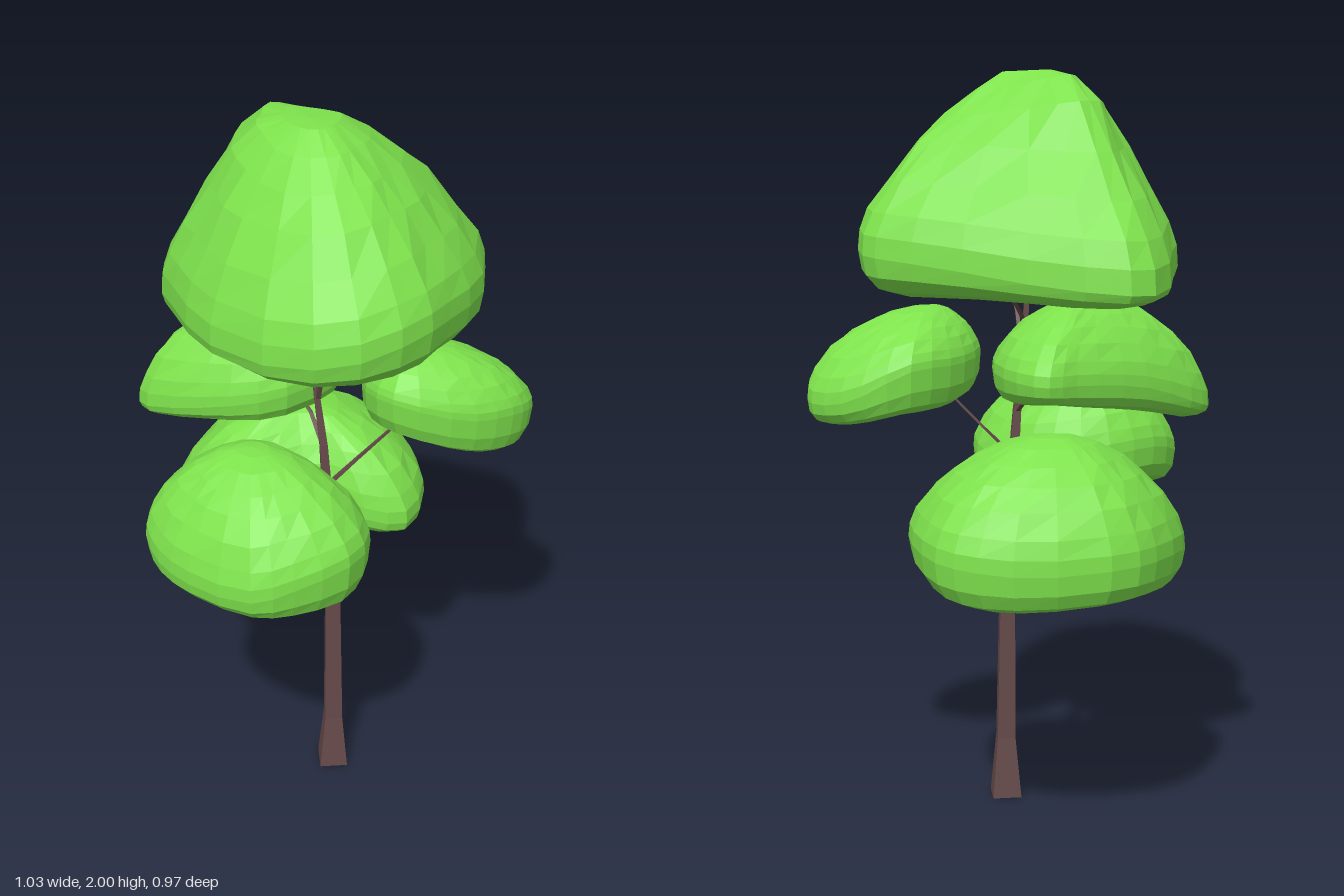
import * as THREE from 'three';

const leafMat = new THREE.MeshStandardMaterial({ color: 0x7ee24c, flatShading: true });
const barkMat = new THREE.MeshStandardMaterial({ color: 0x664a4a, flatShading: true });

// Skin a stack of closed rings, listed bottom to top, each counterclockwise from above
function loft(rings) {
  const n = rings[0].length, pos = [], index = [];
  rings.forEach(r => r.forEach(p => pos.push(p.x, p.y, p.z)));
  for (let i = 0; i < rings.length - 1; i++) {
    for (let j = 0; j < n; j++) {
      const k = (j + 1) % n, a = i * n + j, b = i * n + k;
      index.push(a, b, b + n, a, b + n, a + n);
    }
  }
  const geo = new THREE.BufferGeometry();
  geo.setAttribute('position', new THREE.Float32BufferAttribute(pos, 3));
  geo.setIndex(index);
  geo.computeVertexNormals();
  return geo;
}

// Four-sided limb through points [x, y, z, radius], closed at both ends
function limb(name, points) {
  const ring = ([x, y, z, r]) => Array.from({ length: 4 }, (_, j) => {
    const a = (j / 4) * Math.PI * 2;
    return new THREE.Vector3(x + r * Math.cos(a), y, z - r * Math.sin(a));
  });
  const cap = ([x, y, z]) => [x, y, z, 0];
  const rings = [cap(points[0]), ...points, cap(points[points.length - 1])].map(ring);
  const mesh = new THREE.Mesh(loft(rings), barkMat);
  mesh.name = name;
  return mesh;
}

// Upper profiles: [share of the outline, share of the height from rim to top]
const dome = [[0.99, 0.13], [0.94, 0.28], [0.83, 0.48], [0.68, 0.66], [0.52, 0.8], [0.34, 0.92], [0.16, 0.985], [0, 1]];
const cone = [[0.99, 0.11], [0.94, 0.23], [0.82, 0.4], [0.66, 0.6], [0.5, 0.75], [0.33, 0.89], [0.17, 0.99], [0, 1]];
// Underside profile: [share of the outline, belly to edge, edge to rim]
const under = [[0, 0, 0], [0.45, 0.4, 0], [0.78, 1, 0], [0.91, 1, 0.15], [0.98, 1, 0.5]];

// Leaf clump: plan outline of [x, z, rim height, edge height], top and belly points [x, y, z];
// hump raises a shoulder on the rear slope
function clump(name, outline, top, belly, profile, seed, hump = 0) {
  const n = 24;
  const sample = (h) => {
    const curve = new THREE.CatmullRomCurve3(
      outline.map(p => new THREE.Vector3(p[0], p[h], p[1])), true, 'centripetal');
    return Array.from({ length: n }, (_, j) => curve.getPoint(j / n));
  };
  const rim = sample(2), low = sample(3);
  const T = new THREE.Vector3(...top), B = new THREE.Vector3(...belly);
  const mix = THREE.MathUtils.lerp;
  const rings = under.map(([s, f, g]) => rim.map((p, j) => new THREE.Vector3(
    mix(B.x, p.x, s), mix(mix(B.y, low[j].y, f), p.y, g), mix(B.z, p.z, s))));
  rings.push(rim);
  // upper side, gently uneven
  profile.forEach(([s, h], i) => rings.push(rim.map((p, j) => {
    const w = s * (1 + 0.1 * s * (1 - s) * Math.sin(j * 1.9 + i * 2.3 + seed));
    const lift = hump * Math.exp(-(((s - 0.43) / 0.15) ** 2)) * Math.max(0, T.z - p.z);
    return new THREE.Vector3(mix(T.x, p.x, w), mix(p.y, T.y, h) + lift, mix(T.z, p.z, w));
  })));
  const mesh = new THREE.Mesh(loft(rings), leafMat);
  mesh.name = name;
  return mesh;
}

export function createModel() {
  const tree = new THREE.Group();
  tree.name = 'tree';

  tree.add(limb('trunk', [
    [0.01, 0, 0.097, 0.056], [0.01, 0.17, 0.097, 0.035], [0.008, 0.6, 0.092, 0.028],
    [-0.012, 0.95, 0.085, 0.019], [-0.02, 1.1, 0.078, 0.015], [-0.028, 1.25, 0.06, 0.011],
    [-0.032, 1.52, 0.047, 0.008],
  ]));

  // Branches reaching into the clumps
  const branches = [
    [[-0.03, 1.33, 0.055], [0.05, 1.41, 0.04], [0.13, 1.52, 0.02]],
    [[-0.025, 1.23, 0.062], [-0.06, 1.36, 0.11], [-0.11, 1.52, 0.2]],
    [[-0.01, 0.97, 0.085], [0.05, 1.05, 0.14], [0.12, 1.16, 0.22]],
    [[-0.02, 1.09, 0.078], [0.02, 1.15, 0], [0.05, 1.22, -0.12]],
    [[0, 0.8, 0.088], [-0.07, 0.86, 0.09], [-0.18, 0.93, 0.1]],
    [[0.005, 0.7, 0.09], [0.08, 0.74, 0.02], [0.17, 0.82, -0.1]],
  ];
  for (const b of branches) {
    tree.add(limb('branch', b.map((p, i) => [...p, 0.009 - i * 0.002])));
  }

  // Large crown, its edge dropping toward the back
  tree.add(clump('crown', [
    [-0.3, 0.42, 1.57, 1.48], [-0.15, 0.48, 1.6, 1.48], [0, 0.46, 1.59, 1.48], [0.17, 0.42, 1.57, 1.46],
    [0.41, 0.25, 1.53, 1.43], [0.435, 0.17, 1.52, 1.42], [0.39, 0, 1.5, 1.42], [0.3, -0.25, 1.46, 1.41],
    [0.21, -0.44, 1.44, 1.4], [0.11, -0.48, 1.44, 1.41], [-0.09, -0.38, 1.48, 1.43],
    [-0.21, -0.31, 1.5, 1.45], [-0.3, -0.17, 1.52, 1.46], [-0.38, 0, 1.52, 1.47], [-0.39, 0.27, 1.54, 1.47],
  ], [-0.06, 2, 0.06], [-0.02, 1.49, 0.05], cone, 0.4, 0.12));

  // Low clump wrapping round behind the trunk
  tree.add(clump('lowerClump', [
    [0.2, 0.2, 0.79, 0.74], [0.33, 0.16, 0.8, 0.73], [0.46, 0.02, 0.8, 0.7], [0.515, -0.1, 0.79, 0.68],
    [0.5, -0.2, 0.78, 0.67], [0.42, -0.33, 0.77, 0.67], [0.25, -0.47, 0.78, 0.68], [0.13, -0.485, 0.78, 0.68],
    [-0.05, -0.44, 0.77, 0.67], [-0.19, -0.35, 0.74, 0.67], [-0.2, -0.2, 0.73, 0.67],
    [-0.06, -0.1, 0.8, 0.71], [0.08, 0, 0.83, 0.76], [0.13, 0.13, 0.8, 0.75],
  ], [0.16, 1.075, -0.18], [0.2, 0.73, -0.2], dome, 1.7));

  // Clump on the opposite side
  tree.add(clump('sideClump', [
    [-0.49, 0.24, 0.92, 0.85], [-0.4, 0.32, 0.95, 0.84], [-0.25, 0.38, 0.98, 0.84], [-0.1, 0.3, 0.95, 0.84],
    [-0.04, 0.15, 0.91, 0.85], [-0.06, 0, 0.93, 0.86], [-0.18, -0.13, 0.97, 0.87], [-0.33, -0.18, 0.98, 0.88],
    [-0.45, -0.16, 0.95, 0.86], [-0.5, -0.08, 0.92, 0.85], [-0.52, 0.04, 0.91, 0.85],
  ], [-0.27, 1.195, 0.05], [-0.27, 0.82, 0.1], dome, 3.1));

  // Front upper clump, sloping outward
  tree.add(clump('frontClump', [
    [0.36, 0.12, 1.23, 1.12], [0.2, 0.09, 1.24, 1.13], [0.06, 0.14, 1.26, 1.16], [0.01, 0.28, 1.28, 1.17],
    [0.14, 0.43, 1.23, 1.12], [0.28, 0.48, 1.21, 1.09], [0.38, 0.46, 1.18, 1.08],
    [0.45, 0.4, 1.14, 1.08], [0.455, 0.26, 1.15, 1.09],
  ], [0.14, 1.385, 0.24], [0.24, 1.1, 0.27], dome, 4.2));

  // Rear upper clump with a low pointed corner
  tree.add(clump('rearClump', [
    [0.05, -0.4, 1.2, 1.14], [-0.15, -0.43, 1.14, 1.11], [-0.215, -0.41, 1.13, 1.1], [-0.19, -0.2, 1.18, 1.13],
    [-0.09, -0.02, 1.23, 1.15], [0.15, 0.01, 1.24, 1.16], [0.32, -0.15, 1.23, 1.16],
    [0.345, -0.3, 1.22, 1.17], [0.25, -0.34, 1.22, 1.16],
  ], [0.02, 1.425, -0.2], [0.05, 1.16, -0.2], dome, 5.5));

  return tree;
}
